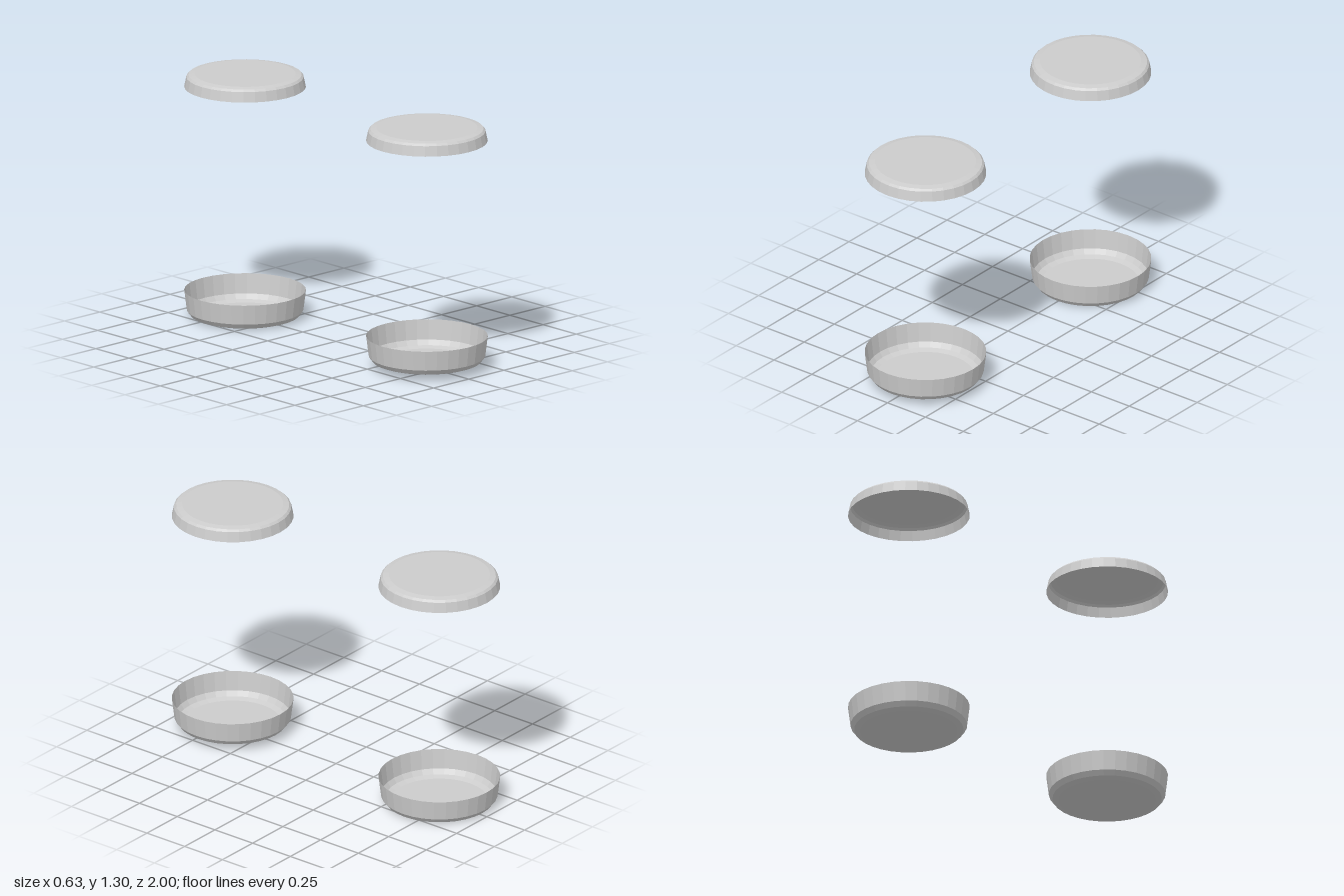
import * as THREE from 'three';

const SEGMENTS = 32;

// Profiles run as [radius, height]; both shells are thin and open on one side.
const DISH = [[0, 0], [0.253, 0], [0.283, 0.01], [0.302, 0.035], [0.315, 0.14]];
const LID = [[0.315, 0], [0.304, 0.053], [0.293, 0.064], [0.262, 0.07], [0, 0.07]];

export function createModel() {
  const model = new THREE.Group();
  model.name = 'dishesWithLids';
  const grey = new THREE.MeshStandardMaterial({
    color: 0xcccccc, flatShading: true, side: THREE.DoubleSide,
  });
  grey.name = 'plain grey';

  const lathe = (profile) => new THREE.LatheGeometry(
    profile.map(([r, y]) => new THREE.Vector2(r, y)), SEGMENTS);
  const dishShape = lathe(DISH);
  const lidShape = lathe(LID);

  const add = (name, shape, y, z) => {
    const mesh = new THREE.Mesh(shape, grey);
    mesh.name = name;
    mesh.position.set(0, y, z);
    model.add(mesh);
  };

  // Front pair: dish slightly raised, lid slightly lower
  add('frontDish', dishShape, 0.03, 0.685);
  add('frontLid', lidShape, 1.217, 0.685);

  // Back pair
  add('backDish', dishShape, 0, -0.685);
  add('backLid', lidShape, 1.23, -0.685);

  return model;
}
